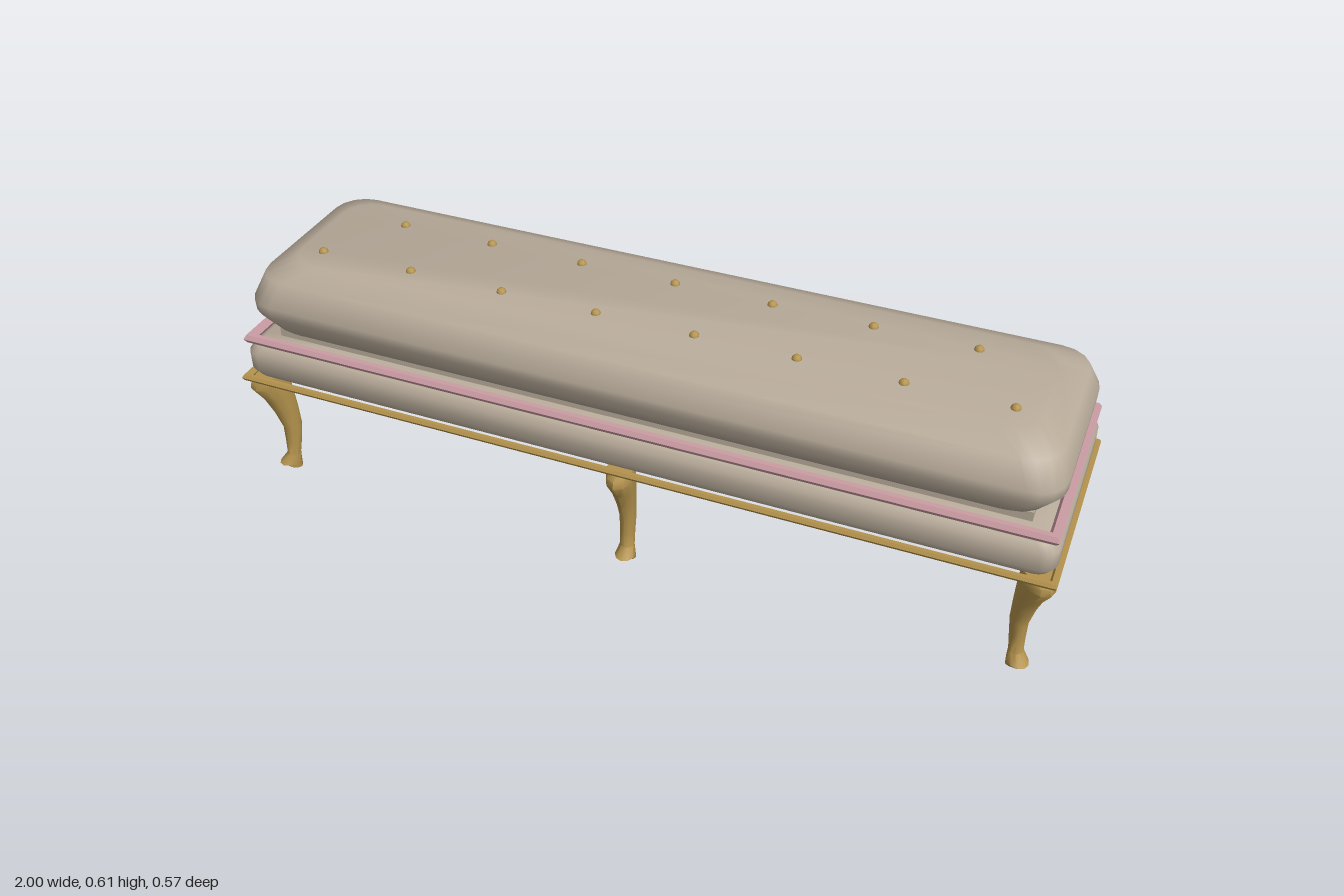
import * as THREE from 'three';
import { toCreasedNormals } from 'three/addons/utils/BufferGeometryUtils.js';

// Closed solid from rings of equal point count, listed from bottom to top (points run anticlockwise seen from above)
function loft(rings, crease) {
  const n = rings[0].length, pos = [], idx = [];
  rings.forEach(r => r.forEach(p => pos.push(p[0], p[1], p[2])));
  for (let k = 0; k < rings.length - 1; k++) {
    for (let i = 0; i < n; i++) {
      const a = k * n + i, b = k * n + (i + 1) % n;
      idx.push(a, b, b + n, a, b + n, a + n);
    }
  }
  const top = (rings.length - 1) * n;
  for (let i = 1; i < n - 1; i++) {
    idx.push(0, i + 1, i);
    idx.push(top, top + i, top + i + 1);
  }
  const g = new THREE.BufferGeometry();
  g.setAttribute('position', new THREE.Float32BufferAttribute(pos, 3));
  g.setIndex(idx);
  return toCreasedNormals(g, crease);
}

// Rounded rectangle ring at height y
function roundRect(hx, hz, r, y) {
  const pts = [], seg = 4;
  const corners = [[1, -1], [-1, -1], [-1, 1], [1, 1]];
  corners.forEach(([sx, sz], c) => {
    for (let i = 0; i <= seg; i++) {
      const a = (c + i / seg) * Math.PI / 2;
      pts.push([sx * (hx - r) + r * Math.cos(a), y, sz * (hz - r) - r * Math.sin(a)]);
    }
  });
  return pts;
}

// Cushion: levels are [height, inset]
const cushion = (hx, hz, r, levels) =>
  loft(levels.map(([y, inset]) => roundRect(hx - inset, hz - inset, r, y)), 0.9);

// Six-sided bar along x with mitred ends, pushed out to z = offset
function mitredBar(half, offset, r) {
  const g = new THREE.CylinderGeometry(r, r, 2, 6, 1, true).rotateZ(Math.PI / 2);
  const p = g.attributes.position;
  for (let i = 0; i < p.count; i++) {
    p.setX(i, Math.sign(p.getX(i)) * (half + p.getZ(i)));
    p.setZ(i, p.getZ(i) + offset);
  }
  return toCreasedNormals(g, 0.5);
}

// Cabriole leg sections: [height, inner reach, outer reach, half width, tilt]
const LEG = [
  [0.010, -0.011, 0.034, 0.023, -0.008],
  [0.022, -0.011, 0.045, 0.025, 0.002],
  [0.045, -0.012, 0.022, 0.018, 0],
  [0.085, -0.020, 0.021, 0.018, 0],
  [0.130, -0.026, 0.021, 0.020, 0],
  [0.180, -0.024, 0.036, 0.023, 0],
  [0.225, -0.020, 0.055, 0.028, 0],
  [0.268, -0.016, 0.083, 0.033, 0],
  [0.285, -0.012, 0.079, 0.033, 0],
  [0.300, -0.010, 0.068, 0.032, 0],
];

function legGeometry() {
  const n = 10;
  return loft(LEG.map(([y, inner, outer, w, tilt]) => {
    const ring = [], c = (inner + outer) / 2, r = (outer - inner) / 2;
    for (let i = 0; i < n; i++) {
      const a = i / n * Math.PI * 2;
      ring.push([w * Math.sin(a), y + tilt * -Math.cos(a), c + r * Math.cos(a)]);
    }
    return ring;
  }), 0.75);
}

// Flat spiral scroll in the xy plane, from outer radius to inner radius
function scrollGeometry(outer, inner, start, turns, tube) {
  const pts = [];
  for (let i = 0; i <= 24; i++) {
    const t = i / 24, a = start + t * turns * Math.PI * 2;
    const r = outer + (inner - outer) * t;
    pts.push(new THREE.Vector3(r * Math.cos(a), r * Math.sin(a), 0));
  }
  return new THREE.TubeGeometry(new THREE.CatmullRomCurve3(pts), 48, tube, 6);
}

export function createModel() {
  const model = new THREE.Group();
  model.name = 'bench';
  const material = (name, color) => {
    const m = new THREE.MeshStandardMaterial({ color });
    m.name = name;
    return m;
  };
  const fabric = material('taupeFabric', 0xb8ab9a);
  const gold = material('agedGold', 0xb4934d);
  const rose = material('rosePiping', 0xcb9ca4);
  const add = (name, geometry, mat, x = 0, y = 0, z = 0, parent = model) => {
    const m = new THREE.Mesh(geometry, mat);
    m.name = name;
    m.position.set(x, y, z);
    parent.add(m);
    return m;
  };

  // Upholstery
  add('seatBase', cushion(0.99, 0.258, 0.035,
    [[0.308, 0.012], [0.33, 0], [0.376, 0], [0.392, 0.012], [0.403, 0.03]]), fabric);
  add('topCushion', cushion(0.978, 0.247, 0.075,
    [[0.422, 0.045], [0.432, 0.034], [0.488, 0.001], [0.515, 0], [0.575, 0.025], [0.601, 0.084]]), fabric);
  add('cushionCore', new THREE.BoxGeometry(1.84, 0.03, 0.39), fabric, 0, 0.412, 0);

  // Rectangular frames made of four bars
  const frame = (name, hx, hz, y, r, mat) => {
    const group = new THREE.Group();
    group.name = name;
    group.position.y = y;
    for (let i = 0; i < 4; i++) {
      const long = i % 2 === 0;
      add(long ? 'longBar' : 'endBar', mitredBar(long ? hx : hz, long ? hz : hx, r),
        mat, 0, 0, 0, group).rotation.y = i * Math.PI / 2;
    }
    model.add(group);
  };
  frame('baseRail', 0.991, 0.264, 0.305, 0.009, gold);
  frame('piping', 0.974, 0.245, 0.413, 0.0125, rose);

  // Staggered tufting buttons
  const button = new THREE.SphereGeometry(0.012, 10, 6);
  for (const [z, count] of [[0.09, 8], [-0.095, 7]]) {
    for (let i = 0; i < count; i++) {
      add('tuftButton', button, gold, (i - (count - 1) / 2) * 0.239, 0.6, z);
    }
  }

  // Legs: diagonal at the corners, straight at the middle
  const leg = legGeometry();
  for (const s of [1, -1]) {
    add('middleLeg', leg, gold, 0, 0, s * 0.2).rotation.y = s > 0 ? 0 : Math.PI;
    for (const x of [1, -1]) {
      add('cornerLeg', leg, gold, x * 0.932, 0, s * 0.2).rotation.y = Math.atan2(x, s);
    }
  }

  // Scrollwork on the back
  const back = new THREE.Group();
  back.name = 'backOrnament';
  model.add(back);
  add('boss', new THREE.SphereGeometry(0.03, 12, 8).scale(1.1, 0.85, 0.45), gold, 0, 0.32, -0.27, back);
  const large = scrollGeometry(0.044, 0.016, Math.PI * 0.7, 1.5, 0.006);
  const small = scrollGeometry(0.034, 0.009, -Math.PI * 0.6, 1.6, 0.006);
  for (const s of [1, -1]) {
    const half = new THREE.Group();
    half.name = s > 0 ? 'leftScrolls' : 'rightScrolls';
    half.scale.x = s;
    back.add(half);
    add('centreScroll', large, gold, 0.07, 0.293, -0.268, half);
    add('sideScroll', small, gold, 0.484, 0.361, -0.265, half);
    // Curved stem from the boss over the scroll
    const stem = new THREE.QuadraticBezierCurve3(new THREE.Vector3(0.01, 0.33, -0.27),
      new THREE.Vector3(0.07, 0.36, -0.268), new THREE.Vector3(0.118, 0.302, -0.268));
    add('stem', new THREE.TubeGeometry(stem, 12, 0.006, 6), gold, 0, 0, 0, half);
  }
  return model;
}
